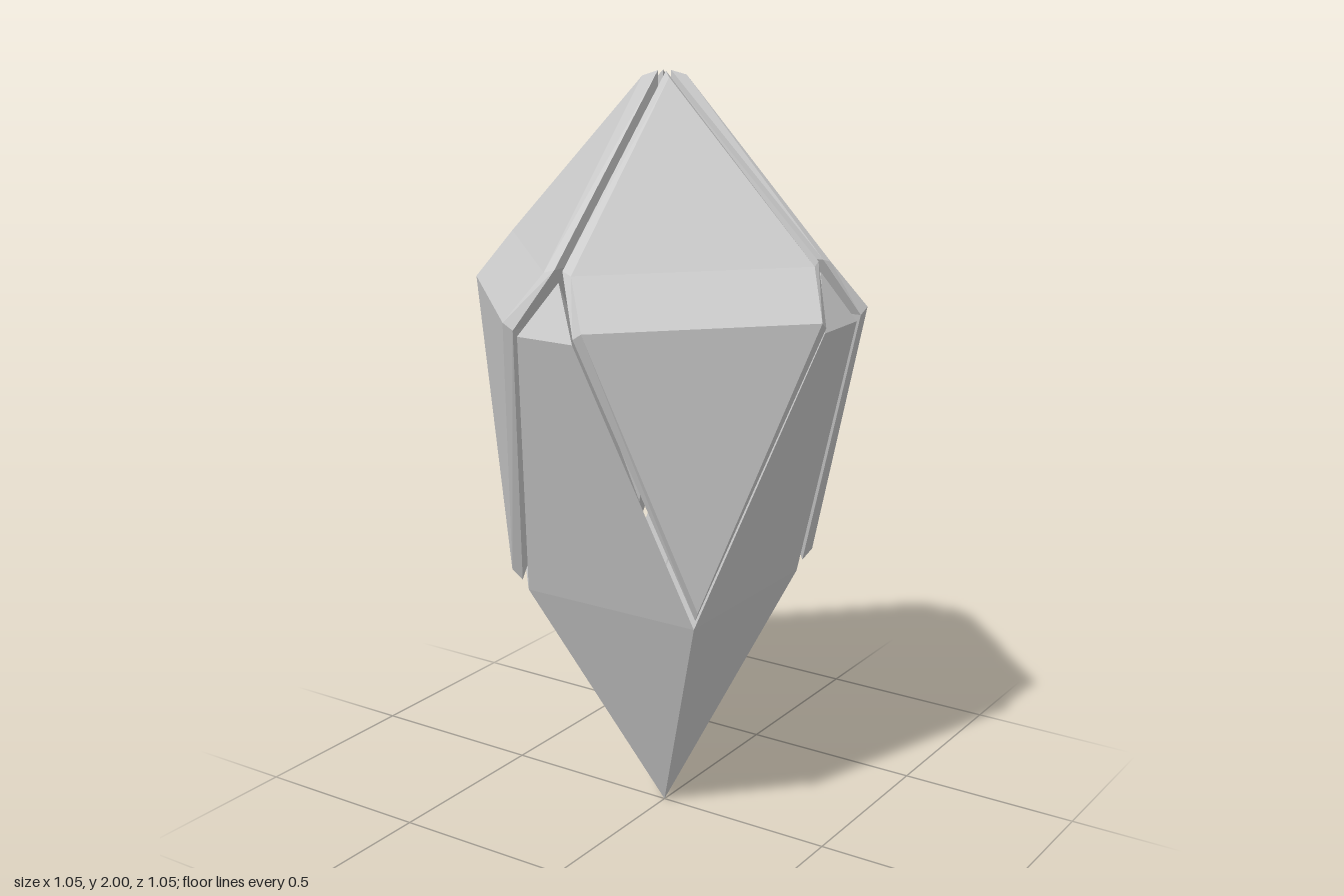
import * as THREE from 'three';

// Flat-faced geometry from a list of convex polygons (counter-clockwise corners)
function facets(polys) {
  const pos = [];
  for (const p of polys)
    for (let i = 1; i < p.length - 1; i++) pos.push(...p[0], ...p[i], ...p[i + 1]);
  const g = new THREE.BufferGeometry();
  g.setAttribute('position', new THREE.Float32BufferAttribute(pos, 3));
  g.computeVertexNormals();
  return g;
}

// Mirror across the diagonal plane x = z
const swap = ([x, y, z]) => [z, y, x];
// Mirror across x = 0
const flip = ([x, y, z]) => [-x, y, z];
const mirrored = (polys, m) => polys.map(p => p.map(m).reverse());

// Upper corner shard: bevelled outer faces, rim and flat inner walls
function shardGeometry() {
  const T = [0.04, 1.988, 0.04], K = [0.04, 1.56, 0.46], M = [0.115, 1.442, 0.526], B = [0.29, 0.71, 0.29];
  const rT = [0.012, 2, 0.012], rK = [0.012, 1.568, 0.455], rM = [0.088, 1.425, 0.522], rB = [0.271, 0.68, 0.271];
  const iK = [0.012, 1.568, 0.012], iM = [0.088, 1.425, 0.088];
  const half = [
    [T, rT, rK, K], [K, rK, rM, M], [M, rM, rB, B],   // bevels
    [rT, iK, rK], [iK, iM, rM, rK], [iM, rB, rM],     // inner walls
  ];
  const outer = [[T, K, swap(K)], [K, M, swap(M), swap(K)], [M, B, swap(M)]];
  return facets([...outer, ...half, ...mirrored(half, swap)]);
}

// One side of the lower body: point, tapering panel, small cap, hollow inside
function petalGeometry() {
  const O = [0, 0, 0], B = [0.26, 0.65, 0.26], A = [0.081, 1.41, 0.515];
  const P = [0, 1.54, 0.455], C = [0, 0.68, 0];
  const inside = [[P, A, C], [A, B, C]];
  return facets([
    [O, B, flip(B)], [flip(B), B, A, flip(A)], [flip(A), A, P],
    ...inside, ...mirrored(inside, flip),
  ]);
}

export function createModel() {
  const stone = new THREE.MeshStandardMaterial({ color: 0xcccccc, flatShading: true });
  stone.name = 'paleGrey';

  const model = new THREE.Group();
  model.name = 'splitCrystal';
  const body = new THREE.Group();
  body.name = 'lowerBody';
  const crown = new THREE.Group();
  crown.name = 'upperShards';
  model.add(body, crown);

  const petal = petalGeometry(), shard = shardGeometry();
  for (let i = 0; i < 4; i++) {
    const side = new THREE.Mesh(petal, stone);
    side.name = 'bodyPetal' + (i + 1);
    side.rotation.y = i * Math.PI / 2;
    body.add(side);

    const corner = new THREE.Mesh(shard, stone);
    corner.name = 'cornerShard' + (i + 1);
    corner.rotation.y = i * Math.PI / 2;
    crown.add(corner);
  }
  return model;
}
